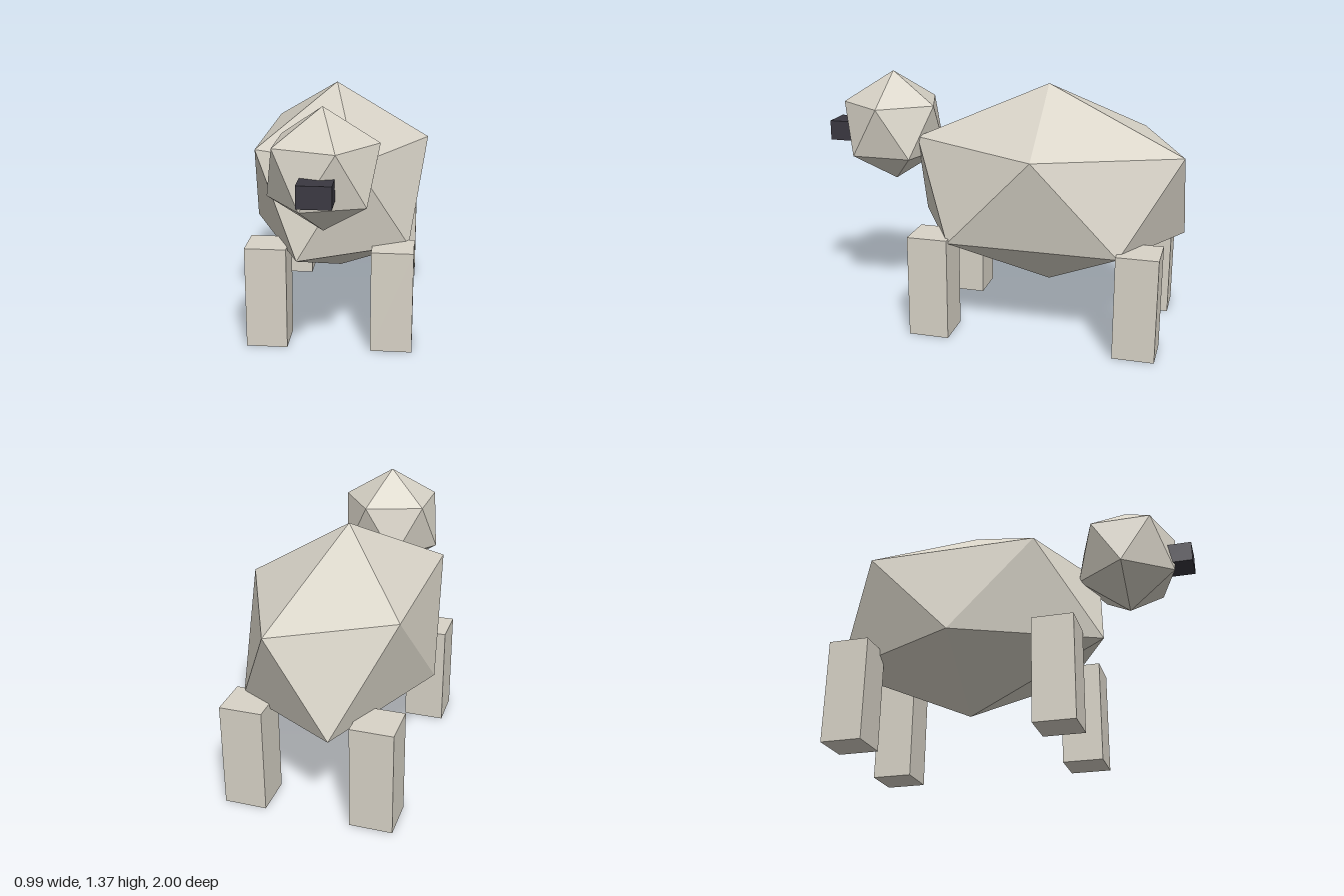
import * as THREE from 'three';
import { ConvexGeometry } from 'three/addons/geometries/ConvexGeometry.js';

export function createModel() {
  const model = new THREE.Group();
  model.name = 'sheep';
  const wool = new THREE.MeshStandardMaterial({ color: 0xd8d3c7, flatShading: true });
  wool.name = 'wool';
  const dark = new THREE.MeshStandardMaterial({ color: 0x3a3841, flatShading: true });
  dark.name = 'dark muzzle';

  const add = (name, geometry, material, x = 0, y = 0, z = 0) => {
    const mesh = new THREE.Mesh(geometry, material);
    mesh.name = name;
    mesh.position.set(x, y, z);
    model.add(mesh);
  };

  // Body: slightly uneven stretched icosahedron (top, upper ring, lower ring, bottom)
  const bodyPoints = [
    [-0.03, 1.34, -0.25],
    [0.49, 1.03, -0.27], [0.15, 1.02, -1.0], [-0.43, 1.05, -0.73], [-0.43, 1.045, 0.2], [0.13, 1.04, 0.45],
    [-0.5, 0.54, -0.25], [-0.16, 0.52, -1.0], [0.39, 0.53, -0.71], [0.4, 0.535, 0.2], [-0.17, 0.535, 0.51],
    [-0.01, 0.23, -0.27],
  ].map((p) => new THREE.Vector3(...p));
  add('body', new ConvexGeometry(bodyPoints), wool);

  // Head: regular icosahedron standing on a point
  const head = new THREE.IcosahedronGeometry(0.31, 0);
  head.rotateX(-Math.atan((1 + Math.sqrt(5)) / 2));
  head.rotateY(Math.PI / 2);
  add('head', head, wool, -0.015, 1.063, 0.638);

  // Muzzle block, set into the head
  add('muzzle', new THREE.BoxGeometry(0.165, 0.11, 0.165), dark, -0.017, 1.028, 0.917);

  // Legs
  for (const [side, x] of [['Left', 0.32], ['Right', -0.35]]) {
    for (const [end, z] of [['front', 0.302], ['back', -0.812]]) {
      add(`${end}${side}Leg`, new THREE.BoxGeometry(0.222, 0.56, 0.22), wool, x, 0.28, z);
    }
  }
  return model;
}
